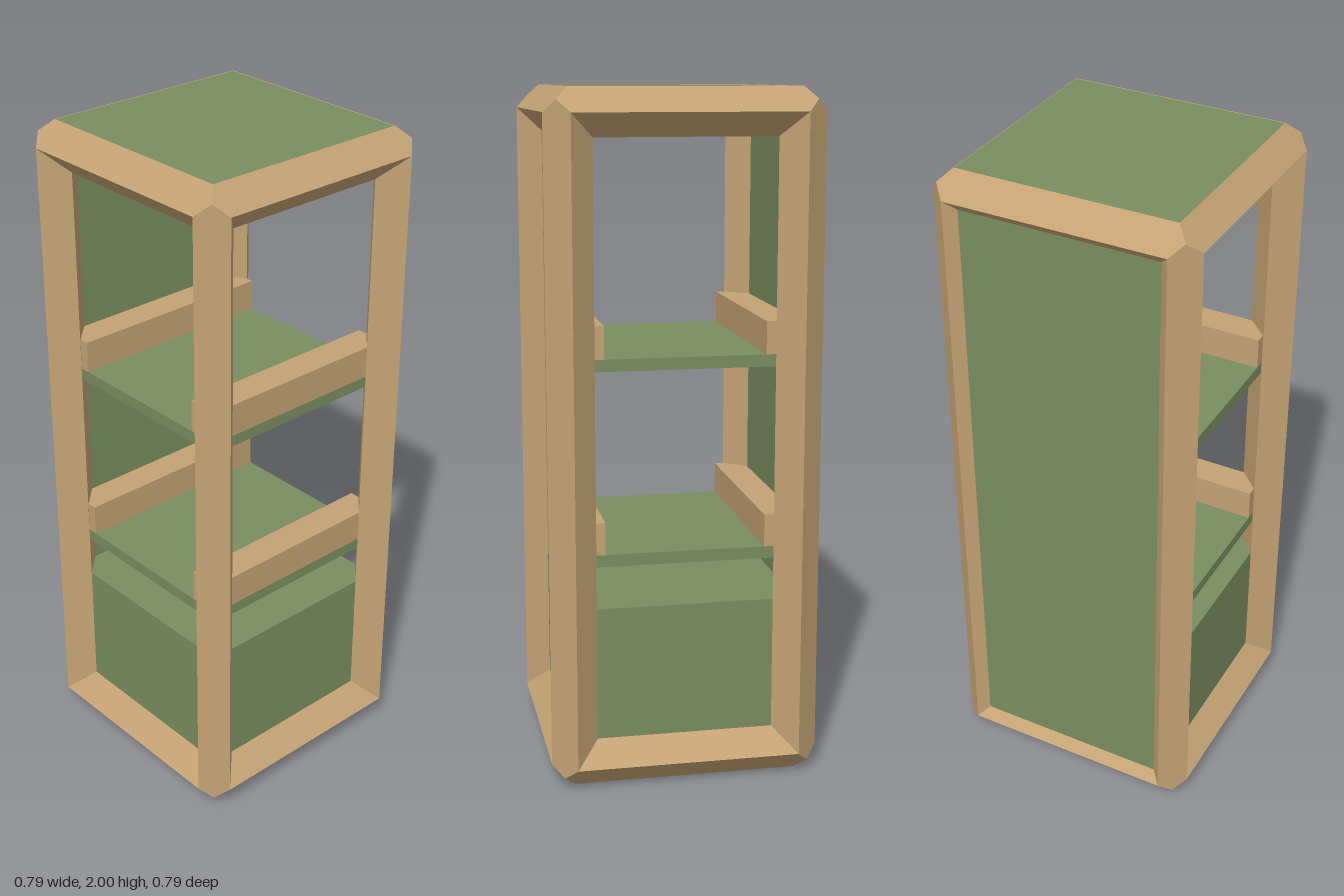
import * as THREE from 'three';
import { ConvexGeometry } from 'three/addons/geometries/ConvexGeometry.js';

const R = 0.068;               // half-diagonal of the diamond-section beams
const C = 0.328;               // beam axis offset in x and z
const LOW = R, HIGH = 2 - R;   // beam axis heights

export function createModel() {
  const model = new THREE.Group();
  model.name = 'shelfTower';
  const wood = new THREE.MeshStandardMaterial({ color: 0xc4a374, flatShading: true });
  const green = new THREE.MeshStandardMaterial({ color: 0x7a8d60 });

  const add = (name, geometry, material, x, y, z) => {
    const mesh = new THREE.Mesh(geometry, material);
    mesh.name = name;
    mesh.position.set(x, y, z);
    model.add(mesh);
    return mesh;
  };
  const box = (name, material, w, h, d, x, y, z) =>
    add(name, new THREE.BoxGeometry(w, h, d), material, x, y, z);

  // Frame: four-sided beams standing on edge, so each shows a sharp ridge
  const beam = (length) => new THREE.CylinderGeometry(R, R, length, 4, 1, true);
  const postGeometry = beam(HIGH - LOW);
  const railGeometry = beam(2 * C);

  // Corner joint: rhombic dodecahedron, where three beams meet in a mitre
  const points = [];
  for (const s of [-1, 1]) {
    points.push(new THREE.Vector3(s * R, 0, 0), new THREE.Vector3(0, s * R, 0), new THREE.Vector3(0, 0, s * R));
    for (const t of [-1, 1]) for (const u of [-1, 1]) {
      points.push(new THREE.Vector3(s, t, u).multiplyScalar(R / 2));
    }
  }
  const jointGeometry = new ConvexGeometry(points);

  for (const s of [-1, 1]) {
    for (const t of [-1, 1]) {
      add('post', postGeometry, wood, s * C, 1, t * C);
      for (const y of [LOW, HIGH]) add('cornerJoint', jointGeometry, wood, s * C, y, t * C);
    }
    for (const y of [LOW, HIGH]) {
      add('crossBeam', railGeometry, wood, 0, y, s * C).rotation.z = Math.PI / 2;
      add('sideBeam', railGeometry, wood, s * C, y, 0).rotation.x = Math.PI / 2;
    }
  }

  // Top panel flush with the ridges, side panel set back between the posts
  box('topPanel', green, 2 * C, 0.04, 2 * C, 0, 1.979, 0);
  box('sidePanel', green, 0.04, HIGH - LOW, 2 * C, -0.346, 1, 0);

  // Closed storage block filling the bottom of the frame
  box('storageBlock', green, 2 * C, 0.495, 2 * C, 0, 0.2825, 0);

  // Shelves with a guard rail along each side
  for (const y of [0.655, 1.22]) {
    box('shelf', green, 0.65, 0.035, 0.65, 0, y + 0.0175, 0);
    for (const s of [-1, 1]) {
      box('guardRail', wood, 0.095, 0.095, 0.65, s * 0.28, y + 0.0825, 0);
    }
  }

  return model;
}
